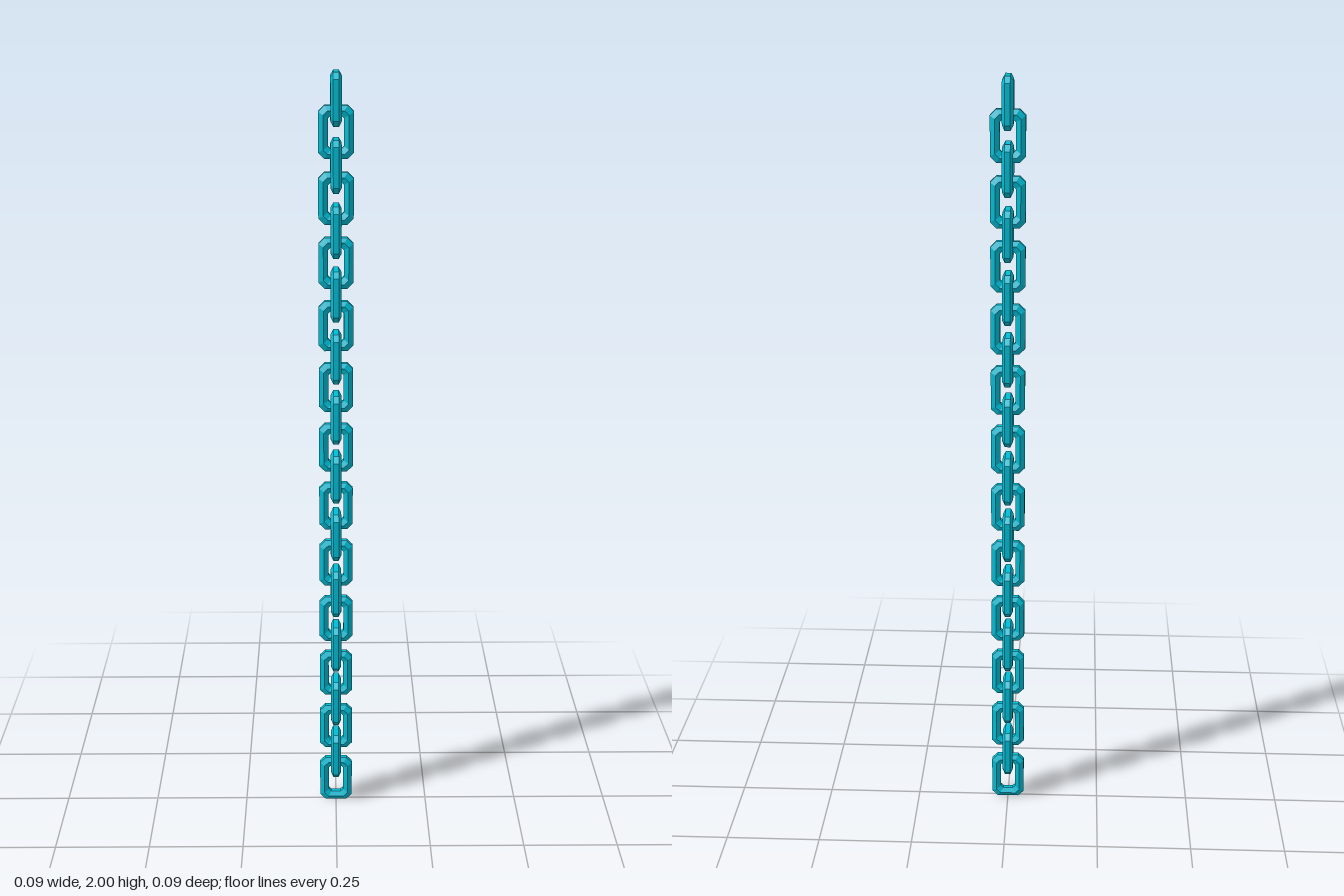
import * as THREE from 'three';

const LINKS = 24;
const WIDTH = 0.088, HEIGHT = 0.13;   // outer size of one link
const RADIUS = 0.014;                 // six-sided bar
const DEPTH = RADIUS * Math.cos(Math.PI / 6);
const SIDES = 6;

// Corners of a chamfered rectangle, counter-clockwise
function chamferedRect(x, y, c) {
  return [
    [x, c - y], [x, y - c], [x - c, y], [c - x, y],
    [-x, y - c], [-x, c - y], [c - x, -y], [x - c, -y],
  ];
}

// A hexagonal bar swept around a chamfered rectangle
function linkGeometry() {
  const positions = [], index = [];
  for (let s = 0; s < SIDES; s++) {
    const a = Math.PI / 2 + (s / SIDES) * Math.PI * 2;
    const out = Math.cos(a) * RADIUS, z = Math.sin(a) * RADIUS;
    const loop = chamferedRect(WIDTH / 2 - DEPTH + out, HEIGHT / 2 - DEPTH + out, 0.011 + 0.35 * out);
    for (const [x, y] of loop) positions.push(x, y, z);
    for (let k = 0; k < 8; k++) {
      const k2 = (k + 1) % 8, s2 = (s + 1) % SIDES;
      const p = s * 8 + k, q = s * 8 + k2, r = s2 * 8 + k2, t = s2 * 8 + k;
      index.push(p, q, r, p, r, t);
    }
  }
  const indexed = new THREE.BufferGeometry();
  indexed.setAttribute('position', new THREE.Float32BufferAttribute(positions, 3));
  indexed.setIndex(index);
  const geometry = indexed.toNonIndexed();
  geometry.computeVertexNormals();
  return geometry;
}

export function createModel() {
  const chain = new THREE.Group();
  chain.name = 'chain';
  const material = new THREE.MeshStandardMaterial({ color: 0x00bcd4, flatShading: true });
  const geometry = linkGeometry();
  const pitch = (2 - HEIGHT) / (LINKS - 1);

  // Links alternate a quarter turn, from the bottom up
  for (let i = 0; i < LINKS; i++) {
    const link = new THREE.Mesh(geometry, material);
    link.name = `link${i + 1}`;
    link.position.y = HEIGHT / 2 + i * pitch;
    link.rotation.y = (i % 2) * Math.PI / 2;
    chain.add(link);
  }
  return chain;
}
